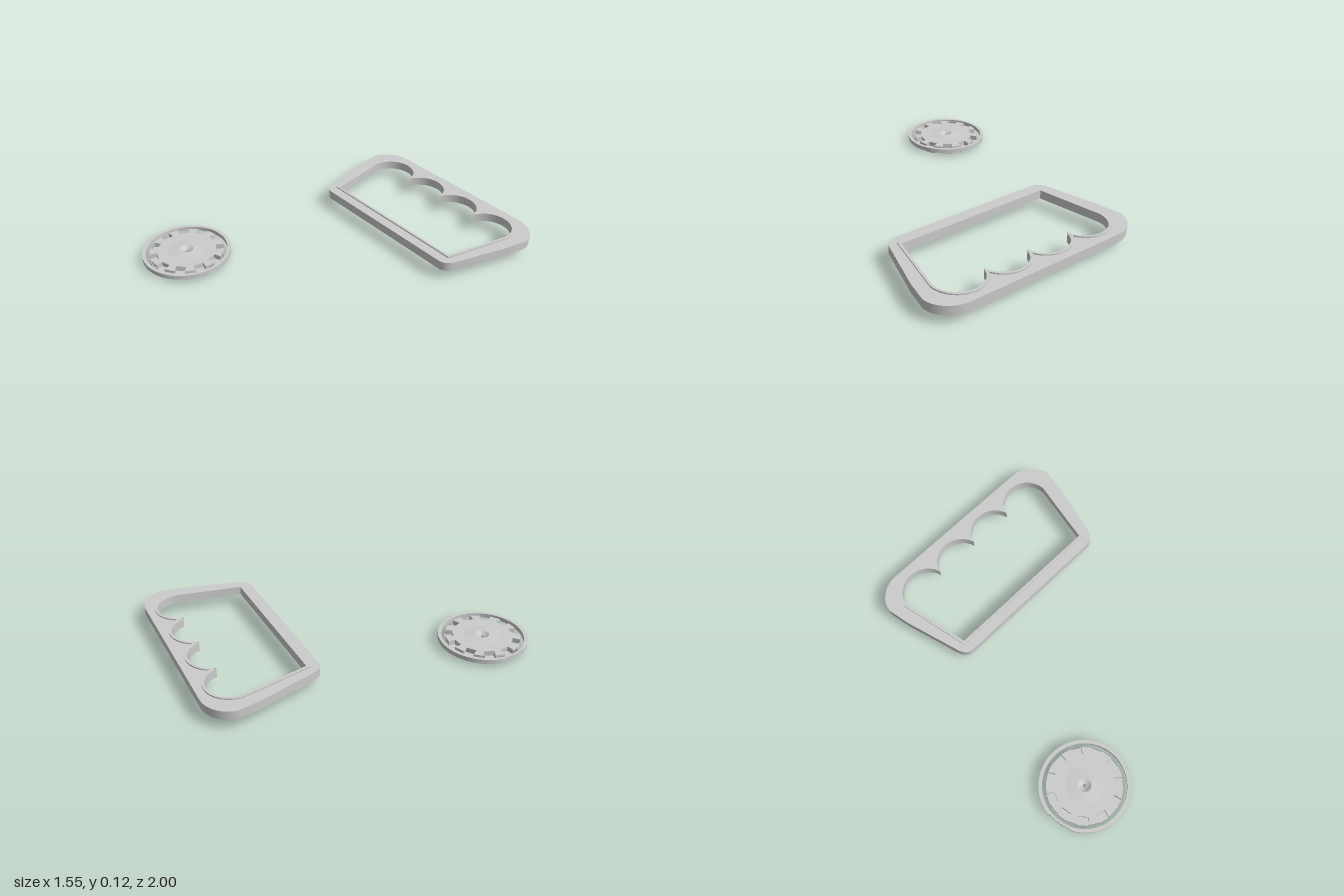
import * as THREE from 'three';
import { toCreasedNormals } from 'three/addons/utils/BufferGeometryUtils.js';

const material = new THREE.MeshStandardMaterial({ color: 0xcccccc });
const thinMaterial = new THREE.MeshStandardMaterial({ color: 0xcccccc, side: THREE.DoubleSide });

// Flat slab: outline in plan (x, -z), raised from y0 to y1
function slab(name, shape, y0, y1) {
  const raw = new THREE.ExtrudeGeometry(shape, { depth: y1 - y0, bevelEnabled: false, curveSegments: 16 });
  raw.rotateX(-Math.PI / 2).translate(0, y0, 0);
  const mesh = new THREE.Mesh(toCreasedNormals(raw, 0.5), material);
  mesh.name = name;
  return mesh;
}

const polar = (r, a) => new THREE.Vector2(r * Math.cos(a), r * Math.sin(a));

// Four finger scallops from left to right, grown by d
function scallops(d) {
  const r = 0.15 + d, points = [], cut = Math.acos(0.145 / r), n = 14;
  for (let i = 0; i < 4; i++) {
    const from = i === 0 ? Math.PI : Math.PI - cut;
    const to = i === 3 ? 0 : cut;
    for (let k = i === 0 ? 0 : 1; k <= n; k++) {
      const p = polar(r, from + (to - from) * k / n);
      points.push(new THREE.Vector2(p.x - 0.435 + 0.29 * i, p.y + 0.79));
    }
  }
  return points;
}

// Grip opening: straight front, slanted sides, scalloped back
function opening(d) {
  return [new THREE.Vector2(0.5 + d, 0.38 - d), new THREE.Vector2(-0.5 - d, 0.38 - d), ...scallops(d)];
}

function outerOutline() {
  const s = new THREE.Shape();
  s.moveTo(-0.5, 0.305);
  s.lineTo(0.5, 0.305);
  s.quadraticCurveTo(0.55, 0.31, 0.567, 0.37);
  s.lineTo(0.66, 0.71);
  s.lineTo(0.685, 0.85);
  s.bezierCurveTo(0.68, 0.93, 0.6, 1, 0.51, 1);
  s.lineTo(-0.51, 1);
  s.bezierCurveTo(-0.6, 1, -0.68, 0.93, -0.685, 0.85);
  s.lineTo(-0.66, 0.71);
  s.lineTo(-0.567, 0.37);
  s.quadraticCurveTo(-0.55, 0.31, -0.5, 0.305);
  return s;
}

// Hollow beneath the back grip, between outer wall and scalloped wall
function gripPocket() {
  const p = new THREE.Path();
  p.moveTo(0.592, 0.75);
  p.lineTo(0.643, 0.75);
  p.lineTo(0.66, 0.85);
  p.bezierCurveTo(0.655, 0.92, 0.59, 0.977, 0.5, 0.977);
  p.lineTo(-0.5, 0.977);
  p.bezierCurveTo(-0.59, 0.977, -0.655, 0.92, -0.66, 0.85);
  p.lineTo(-0.643, 0.75);
  p.lineTo(-0.592, 0.75);
  scallops(0.015).forEach(v => p.lineTo(v.x, v.y));
  p.closePath();
  return p;
}

function createHandle() {
  const handle = new THREE.Group();
  handle.name = 'handle';
  const hole = new THREE.Path(opening(0));
  const lower = outerOutline();
  lower.holes.push(hole, gripPocket());
  const upper = outerOutline();
  upper.holes.push(hole);
  const lip = new THREE.Shape(opening(0.015));
  lip.holes.push(hole);
  handle.add(
    slab('handleWalls', lower, 0.062, 0.098),
    slab('handleTop', upper, 0.098, 0.117),
    slab('openingLip', lip, 0.117, 0.125));
  handle.position.x = 0.09;
  return handle;
}

function createCap() {
  const cap = new THREE.Group();
  cap.name = 'cap';
  const count = 11, step = 2 * Math.PI / count, R = 0.222, half = 0.031, inner = 0.176;

  // Disc with a notch at each rim tab
  const edge = Math.asin(half / R), points = [];
  for (let i = 0; i < count; i++) {
    const a = Math.PI / 2 + i * step, c = Math.cos(a), s = Math.sin(a);
    for (const w of [-half, half]) points.push(new THREE.Vector2(inner * c - w * s, inner * s + w * c));
    for (let k = 0; k <= 5; k++) points.push(polar(R, a + edge + (step - 2 * edge) * k / 5));
  }
  const disc = new THREE.Shape(points);
  disc.holes.push(new THREE.Path().absarc(0, 0, 0.04, 0, 2 * Math.PI, true));
  cap.add(slab('disc', disc, 0.04, 0.055));

  // Sunken tabs: floor, inner wall and two side walls
  for (let i = 0; i < count; i++) {
    const tab = new THREE.Group();
    tab.name = 'rimTab';
    const box = (w, h, d, x, y, z) => {
      const m = new THREE.Mesh(new THREE.BoxGeometry(w, h, d), material);
      m.position.set(x, y, z);
      m.name = 'tabWall';
      tab.add(m);
    };
    const mid = (inner + R) / 2, depth = R - inner;
    box(depth, 0.025, 2 * half, mid, 0.0125, 0);
    box(0.006, 0.045, 2 * half, inner - 0.003, 0.0225, 0);
    for (const side of [-1, 1]) box(depth - 0.004, 0.045, 0.005, mid - 0.002, 0.0225, side * (half + 0.0025));
    tab.rotation.y = Math.PI / 2 + i * step;
    cap.add(tab);
  }

  // Shallow raised centre with a funnel and pinhole
  const profile = [[0.11, 0.055], [0.04, 0.061], [0.036, 0.058], [0.014, 0.042], [0.01, 0.042],
    [0.01, 0.03], [0.018, 0.03], [0.042, 0.04]].map(([x, y]) => new THREE.Vector2(x, y));
  const hub = new THREE.Mesh(toCreasedNormals(new THREE.LatheGeometry(profile, 40), 0.5), thinMaterial);
  hub.name = 'hub';
  cap.add(hub);

  // Separate outer ring, thinned on its right side
  const rim = [];
  for (let i = 0; i < 90; i++) {
    const deg = i * 4;
    rim.push(polar(deg > 172 && deg < 206 ? 0.257 : 0.265, deg * Math.PI / 180));
  }
  const ring = new THREE.Shape(rim);
  ring.holes.push(new THREE.Path(rim.map((_, i) => polar(0.245, -i * Math.PI / 45))));
  cap.add(slab('outerRing', ring, 0.028, 0.055));
  cap.position.set(-0.515, 0, 0.733);
  return cap;
}

export function createModel() {
  const model = new THREE.Group();
  model.name = 'handleAndCap';
  model.add(createHandle(), createCap());
  return model;
}
